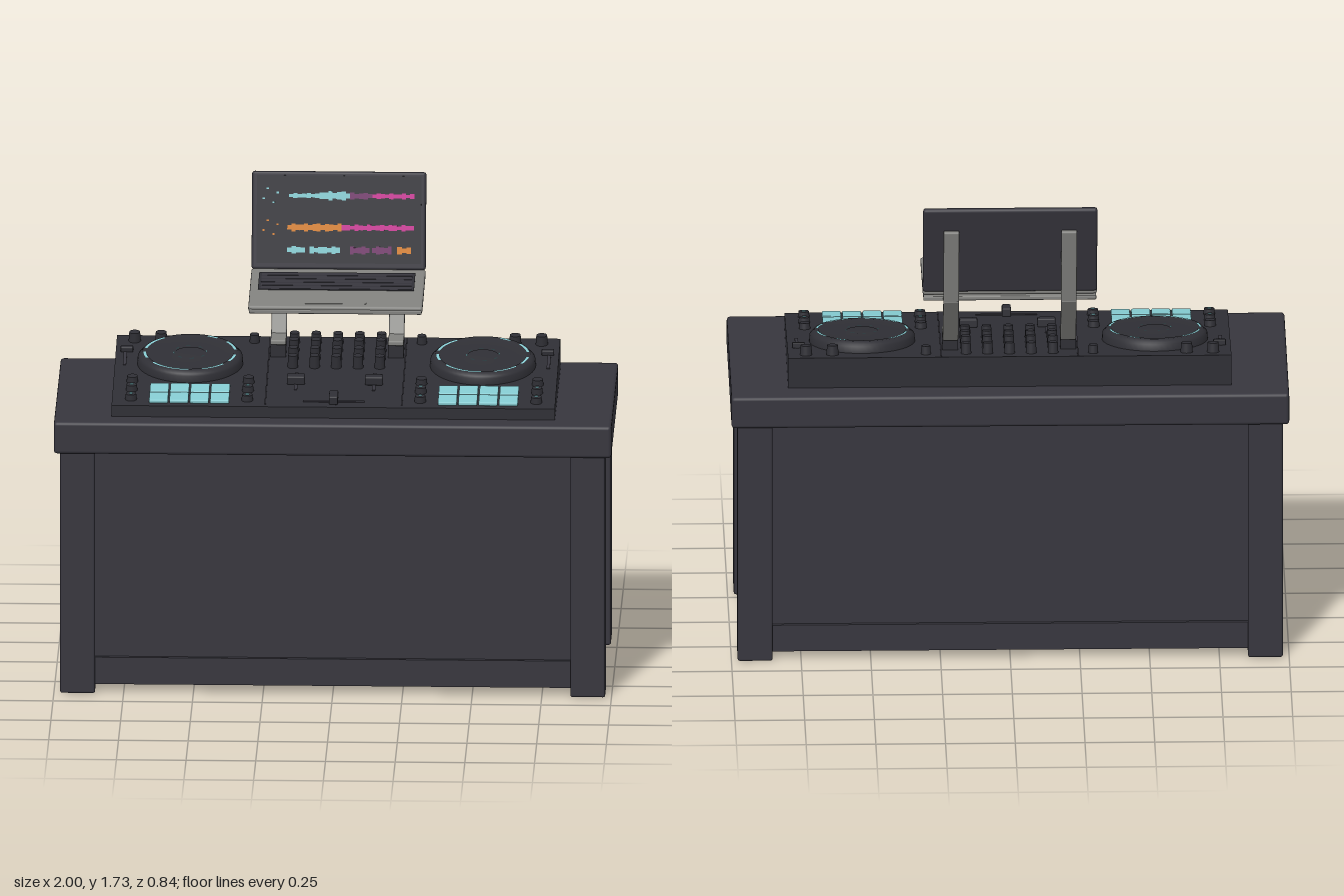
import * as THREE from 'three';
import { RoundedBoxGeometry } from 'three/addons/geometries/RoundedBoxGeometry.js';

const mat = (name, color) => Object.assign(new THREE.MeshStandardMaterial({ color }), { name });

export function createModel() {
  const table = mat('charcoal table', 0x37363e);
  const black = mat('black plastic', 0x2f2f35);
  const grey = mat('aluminium', 0x82827f);
  const cyan = mat('cyan light', 0x86ccd2);
  const orange = mat('orange wave', 0xd8822f);
  const magenta = mat('magenta wave', 0xcb3596);
  const purple = mat('purple wave', 0x74396c);

  const root = new THREE.Group();
  const group = (name, parent = root) => {
    const g = new THREE.Group();
    g.name = name;
    parent.add(g);
    return g;
  };
  const add = (parent, name, geo, m, x = 0, y = 0, z = 0) => {
    const mesh = new THREE.Mesh(geo, m);
    mesh.name = name;
    mesh.position.set(x, y, z);
    parent.add(mesh);
    return mesh;
  };
  const box = (p, name, m, w, h, d, x, y, z, r = 0) =>
    add(p, name, r ? new RoundedBoxGeometry(w, h, d, 2, r) : new THREE.BoxGeometry(w, h, d), m, x, y, z);

  // Table: slab, corner posts, recessed panels and lower rails
  const desk = group('table');
  box(desk, 'tableTop', table, 2, 0.118, 0.84, 0, 0.957, 0, 0.012);
  box(desk, 'cabinet', table, 1.88, 0.86, 0.73, 0, 0.47, 0);
  for (const sx of [-1, 1]) {
    for (const sz of [-1, 1]) box(desk, 'post', table, 0.125, 0.91, 0.125, sx * 0.915, 0.455, sz * 0.338, 0.008);
    box(desk, 'sideRail', table, 0.02, 0.1, 0.56, sx * 0.945, 0.08, 0);
    box(desk, 'endRail', table, 1.72, 0.1, 0.02, 0, 0.08, sx * 0.37);
  }

  // Controller body: a wedge rising to the back
  const controller = group('controller');
  const side = new THREE.Shape([[-0.335, 1.01], [0.32, 1.01], [0.32, 1.13], [-0.335, 1.057]]
    .map(([x, y]) => new THREE.Vector2(x, y)));
  const wedge = new THREE.ExtrudeGeometry(side, { depth: 1.59, bevelEnabled: false });
  wedge.translate(0, 0, -0.795).rotateY(Math.PI / 2);
  add(controller, 'controllerBody', wedge, black);

  // Everything on the sloping face sits in this tilted group
  const deck = group('controlSurface', controller);
  deck.position.y = 1.0945;
  deck.rotation.x = Math.atan(0.073 / 0.655);

  const knob = (x, z, r = 0.022, h = 0.035) => {
    add(deck, 'knob', new THREE.CylinderGeometry(r * 0.88, r, h, 20), black, x, h / 2, z);
  };
  const arc = (inner, outer, from, span, x, y) => {
    const geo = new THREE.RingGeometry(inner, outer, 16, 1, from, span).rotateX(-Math.PI / 2);
    add(deck, 'lightArc', geo, cyan, x, y, -0.07);
  };
  const jogProfile = [[0, 0.038], [0.055, 0.038], [0.06, 0.034], [0.15, 0.034], [0.155, 0.04], [0.172, 0.04],
    [0.18, 0.03], [0.188, 0.024], [0.19, 0]].reverse().map(([x, y]) => new THREE.Vector2(x, y));

  for (const s of [-1, 1]) {
    const cx = s * 0.525;
    add(deck, 'jogWheel', new THREE.LatheGeometry(jogProfile, 56), black, cx, 0, -0.07);
    for (const [from, span] of [[0.15, 0.5], [0.95, 0.25], [2.2, 0.75], [3.15, 0.35], [3.8, 0.9], [5.0, 0.55], [5.75, 0.4]])
      arc(0.158, 0.167, from, span, cx, 0.0415);
    for (let i = 0; i < 8; i++) arc(0.056, 0.061, i * Math.PI / 4, 0.28, cx, 0.0415);

    // Performance pads, four by two
    for (let i = 0; i < 4; i++) for (let j = 0; j < 2; j++)
      box(deck, 'pad', cyan, 0.068, 0.014, 0.078, s * 0.518 + (i - 1.5) * 0.073, 0.006, 0.19 + j * 0.084, 0.005);

    // Corner knobs and the button columns beside the pads
    knob(s * 0.73, -0.27);
    knob(s * 0.635, -0.27);
    for (const x of [0.31, 0.727]) for (const z of [0.11, 0.19, 0.275]) {
      knob(s * x, z, 0.021, 0.022);
      if (z > 0.15) box(deck, 'buttonLight', cyan, 0.012, 0.003, 0.01, s * x, 0.023, z);
    }
    knob(s * 0.3, -0.27, 0.018, 0.03);

    // Pitch slider, volume fader and section seam
    box(deck, 'pitchSlot', table, 0.012, 0.004, 0.14, s * 0.76, 0.001, -0.11);
    box(deck, 'pitchCap', black, 0.045, 0.02, 0.022, s * 0.755, 0.01, -0.17, 0.004);
    box(deck, 'faderSlot', table, 0.012, 0.004, 0.16, s * 0.14, 0.001, 0.1);
    box(deck, 'faderCap', black, 0.065, 0.032, 0.035, s * 0.14, 0.016, 0.115, 0.005);
    box(deck, 'seam', table, 0.005, 0.003, 0.63, s * 0.245, 0.001, 0);
  }
  box(deck, 'crossfaderSlot', table, 0.22, 0.004, 0.012, 0, 0.001, 0.285);
  box(deck, 'crossfaderCap', black, 0.032, 0.032, 0.065, 0, 0.016, 0.285, 0.005);

  // Mixer knobs
  for (let i = -2; i <= 2; i++) for (let j = 0; j < 4; j++)
    knob(i * 0.078, -0.265 + j * 0.075, 0.019, j === 0 ? 0.04 : 0.046);

  // Laptop stand: bent arms with feet and a tray frame
  const stand = group('laptopStand');
  const bar = (name, x, [z1, y1], [z2, y2], w, t) => {
    const b = box(stand, name, grey, w, t, Math.hypot(z2 - z1, y2 - y1) + t * 0.6, x, (y1 + y2) / 2, (z1 + z2) / 2, 0.005);
    b.rotation.x = -Math.atan2(y2 - y1, z2 - z1);
  };
  for (const s of [-1, 1]) {
    const x = s * 0.211;
    box(stand, 'footPad', black, 0.055, 0.05, 0.09, x, 1.135, -0.17);
    bar('foot', x, [-0.12, 1.166], [-0.22, 1.166], 0.056, 0.018);
    bar('lowerArm', x, [-0.22, 1.168], [-0.345, 1.355], 0.056, 0.022);
    bar('upperArm', x, [-0.345, 1.355], [-0.4, 1.635], 0.056, 0.02);
    bar('trayRail', x, [0.085, 1.341], [-0.345, 1.356], 0.056, 0.016);
  }
  box(stand, 'trayFront', grey, 0.62, 0.016, 0.03, 0, 1.341, 0.075, 0.004);
  box(stand, 'trayBack', grey, 0.62, 0.016, 0.04, 0, 1.354, -0.3, 0.004);

  // Laptop base with keyboard and touchpad
  const laptop = group('laptop');
  const base = group('laptopBase', laptop);
  base.position.set(0, 1.363, -0.112);
  base.rotation.x = 0.068;
  box(base, 'baseShell', grey, 0.625, 0.022, 0.4, 0, 0, 0, 0.008);
  box(base, 'keyboard', black, 0.56, 0.004, 0.18, -0.003, 0.011, -0.063);
  for (let r = 0; r < 5; r++)
    box(base, 'keyRow', table, 0.54, 0.004, 0.028, -0.003, 0.012, -0.133 + r * 0.035);
  box(base, 'touchpad', grey, 0.22, 0.002, 0.12, 0, 0.0112, 0.11);

  // Laptop lid, leaning back, with coloured waveforms on its screen
  const lid = group('laptopLid', laptop);
  lid.position.set(0, 1.383, -0.315);
  lid.rotation.x = -0.228;
  box(lid, 'lidShell', table, 0.625, 0.352, 0.024, 0, 0.176, 0, 0.01);
  box(lid, 'screen', black, 0.59, 0.315, 0.002, 0, 0.18, 0.012);
  const wave = (m, x1, x2, y, h) => {
    const n = Math.max(1, Math.round((x2 - x1) / 0.015));
    const w = (x2 - x1) / n;
    for (let i = 0; i < n; i++)
      box(lid, 'waveform', m, w, h * (0.82 + 0.22 * Math.sin(i * 2.3 + x1 * 40)), 0.003, x1 + (i + 0.5) * w, y, 0.0125);
  };
  wave(cyan, -0.18, -0.07, 0.265, 0.018);
  wave(cyan, -0.07, 0.04, 0.265, 0.032);
  wave(purple, 0.04, 0.12, 0.265, 0.024);
  wave(magenta, 0.12, 0.27, 0.265, 0.02);
  wave(orange, -0.185, 0.01, 0.151, 0.028);
  wave(magenta, 0.01, 0.27, 0.151, 0.022);
  wave(cyan, -0.185, -0.12, 0.07, 0.026);
  wave(cyan, -0.105, 0.005, 0.07, 0.026);
  wave(purple, 0.04, 0.11, 0.07, 0.028);
  wave(purple, 0.12, 0.19, 0.07, 0.028);
  wave(orange, 0.21, 0.26, 0.07, 0.026);
  for (const [m, y] of [[cyan, 0.265], [orange, 0.151]]) for (let i = 0; i < 4; i++) {
    const a = i * Math.PI / 2 + 0.4;
    box(lid, 'dialMark', m, 0.008, 0.006, 0.003, -0.245 + 0.027 * Math.cos(a), y + 0.027 * Math.sin(a), 0.0125);
  }
  return root;
}
